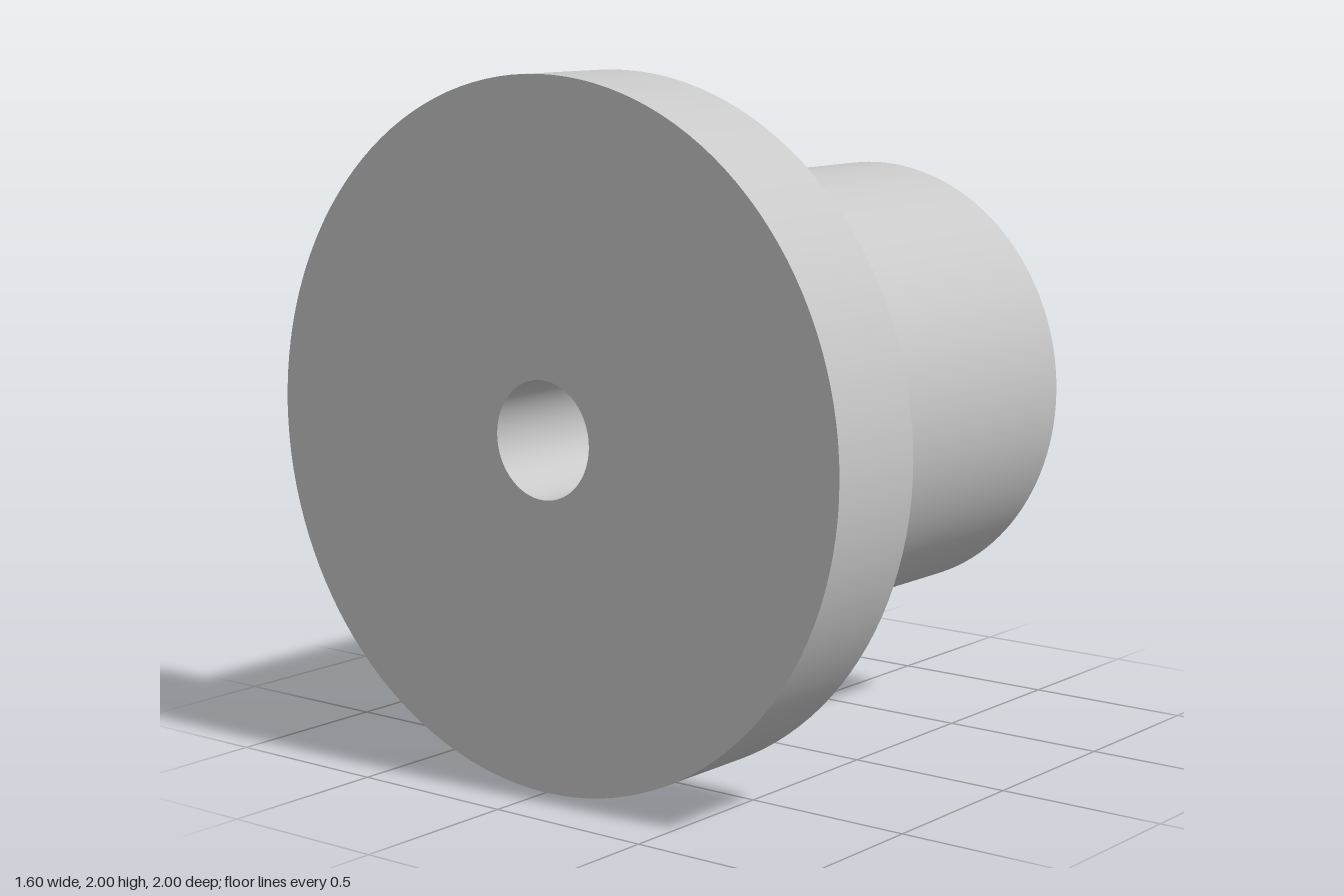
import * as THREE from 'three';
import { mergeGeometries } from 'three/addons/utils/BufferGeometryUtils.js';

const SEGMENTS = 128;
const FLANGE_R = 1, HUB_R = 0.667, BORE_R = 0.167, HEX_R = 0.32;
const X_BACK = -0.8, X_STEP = -0.467, X_END = 0.8, X_FLOOR = 0.555;

// Revolve [radius, x] points about the x axis, one band per pair so the edges stay sharp
function revolve(points) {
  const bands = [];
  for (let i = 0; i < points.length - 1; i++) {
    const pair = [points[i], points[i + 1]].map(([r, x]) => new THREE.Vector2(r, x));
    bands.push(new THREE.LatheGeometry(pair, SEGMENTS));
  }
  return mergeGeometries(bands).rotateZ(-Math.PI / 2);
}

function circlePath(radius, Type) {
  const path = new Type();
  path.absarc(0, 0, radius, 0, Math.PI * 2, false);
  return path;
}

// Hexagon with corners at top and bottom
function hexPath(Type) {
  const points = [];
  for (let i = 0; i < 6; i++) {
    const a = Math.PI / 2 + (i * Math.PI) / 3;
    points.push(new THREE.Vector2(HEX_R * Math.cos(a), HEX_R * Math.sin(a)));
  }
  return new Type(points);
}

// Flat face looking along +x, with one hole
function face(outline, hole, x) {
  outline.holes.push(hole);
  return new THREE.ShapeGeometry(outline, SEGMENTS / 2).rotateY(Math.PI / 2).translate(x, 0, 0);
}

export function createModel() {
  const group = new THREE.Group();
  group.name = 'flangedBushing';
  const grey = new THREE.MeshStandardMaterial({ color: 0xc8c8c8 });
  grey.name = 'plain grey';

  const add = (name, geometry) => {
    const mesh = new THREE.Mesh(geometry, grey);
    mesh.name = name;
    mesh.position.y = FLANGE_R;
    group.add(mesh);
  };

  // Wide disc with its back face, rim and shoulder
  add('flange', revolve([[BORE_R, X_BACK], [FLANGE_R, X_BACK], [FLANGE_R, X_STEP], [HUB_R, X_STEP]]));

  // Cylindrical hub and its end face around the hexagonal opening
  add('hub', revolve([[HUB_R, X_STEP], [HUB_R, X_END]]));
  add('hubEndFace', face(circlePath(HUB_R, THREE.Shape), hexPath(THREE.Path), X_END));

  // Through bore
  add('bore', revolve([[BORE_R, X_FLOOR], [BORE_R, X_BACK]]));

  // Hexagonal socket: mirrored so that its walls face inward
  const walls = new THREE.CylinderGeometry(HEX_R, HEX_R, X_END - X_FLOOR, 6, 1, true)
    .toNonIndexed()
    .rotateY(Math.PI / 2)
    .rotateZ(-Math.PI / 2)
    .scale(-1, 1, 1)
    .translate((X_END + X_FLOOR) / 2, 0, 0);
  walls.computeVertexNormals();
  add('hexSocketWalls', walls);
  add('hexSocketFloor', face(hexPath(THREE.Shape), circlePath(BORE_R, THREE.Path), X_FLOOR));

  return group;
}
